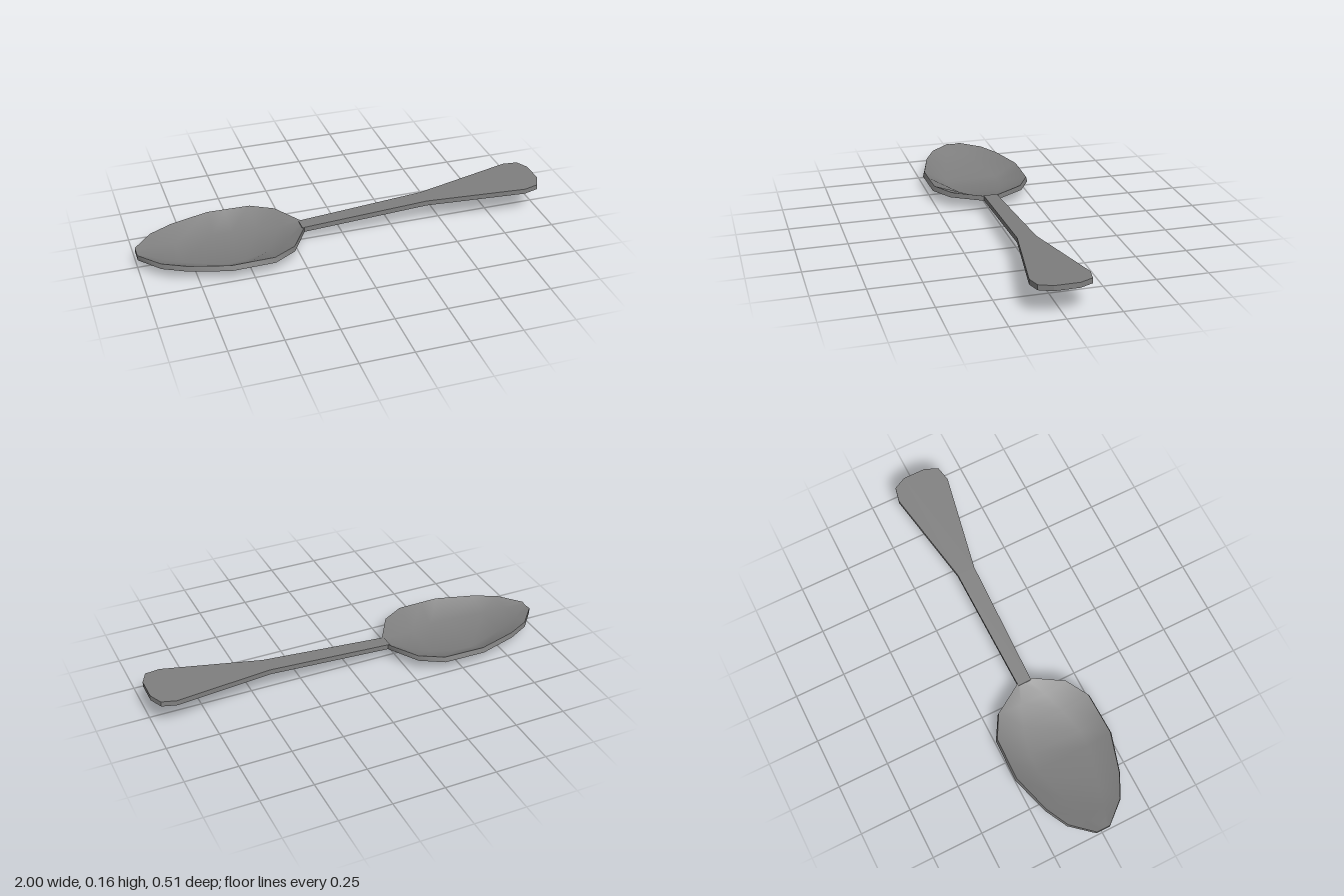
import * as THREE from 'three';
import { toCreasedNormals } from 'three/addons/utils/BufferGeometryUtils.js';

const RIM_LOW = 0.063, RIM_TOP = 0.088;

// Surface through rows of points; it faces (column direction) x (row direction)
function loft(rows) {
  const n = rows[0].length, index = [];
  for (let i = 0; i < rows.length - 1; i++) {
    for (let j = 0; j < n - 1; j++) {
      const a = i * n + j, b = a + n;
      index.push(a, a + 1, b, a + 1, b + 1, b);
    }
  }
  const g = new THREE.BufferGeometry();
  g.setAttribute('position', new THREE.Float32BufferAttribute(rows.flat(2), 3));
  g.setIndex(index);
  g.computeVertexNormals();
  return g;
}

export function createModel() {
  const metal = new THREE.MeshStandardMaterial({ color: 0x808080 });
  metal.name = 'grey metal';
  const spoon = new THREE.Group();
  spoon.name = 'spoon';
  const add = (parent, name, geometry) => {
    const mesh = new THREE.Mesh(geometry, metal);
    mesh.name = name;
    parent.add(mesh);
  };

  // Bowl stations: x, rim half width, underside height, half width of the flat underside
  const stations = [
    [-1, 0.035, 0.063, 0.018],
    [-0.91, 0.14, 0.045, 0.055],
    [-0.8, 0.198, 0.02, 0.085],
    [-0.61, 0.255, 0.002, 0.135],
    [-0.52, 0.253, 0.002, 0.13],
    [-0.4, 0.25, 0.012, 0.1],
    [-0.29, 0.185, 0.036, 0.06],
    [-0.2, 0.035, 0.063, 0.018],
  ];
  const bowl = new THREE.Group();
  bowl.name = 'bowl';
  spoon.add(bowl);

  // Hollow inside of the bowl
  add(bowl, 'bowlInside', loft(stations.map(([x, w, y, f]) => {
    const t = w * 0.97, d = y + RIM_TOP - RIM_LOW - 0.003;
    return [[x, RIM_TOP, -t], [x, d, -f], [x, d, f], [x, RIM_TOP, t]];
  })));

  // Rounded underside
  add(bowl, 'bowlUnderside', loft(stations.map(([x, w, y, f]) =>
    [[x, RIM_LOW, w], [x, y, f], [x, y, -f], [x, RIM_LOW, -w]])));

  // Rim wall, leaning slightly inward
  const ring = (y, scale) => {
    const side = stations.map(([x, w]) => [x, y, w * scale]);
    const mirrored = side.map(([x, h, z]) => [x, h, -z]).reverse();
    return [...side, ...mirrored, side[0]];
  };
  add(bowl, 'bowlRim', toCreasedNormals(loft([ring(RIM_LOW, 1), ring(RIM_TOP, 0.97)]), 0.75));

  // Flat handle, flaring to a rounded end and rising away from the bowl
  const half = [[-0.21, 0.034], [0.42, 0.045], [0.9, 0.135], [0.97, 0.12], [1, 0.058]];
  const outline = [...half.map(([x, z]) => [x, -z]), ...half.slice().reverse()];
  const shape = new THREE.Shape(outline.map(([x, z]) => new THREE.Vector2(x, z)));
  const handle = new THREE.ExtrudeGeometry(shape, { depth: RIM_TOP - RIM_LOW, bevelEnabled: false });
  handle.rotateX(-Math.PI / 2);
  const p = handle.attributes.position;
  for (let i = 0; i < p.count; i++) {
    p.setY(i, p.getY(i) + RIM_LOW + (p.getX(i) + 0.2) * 0.063);
  }
  handle.computeVertexNormals();
  add(spoon, 'handle', handle);

  return spoon;
}
